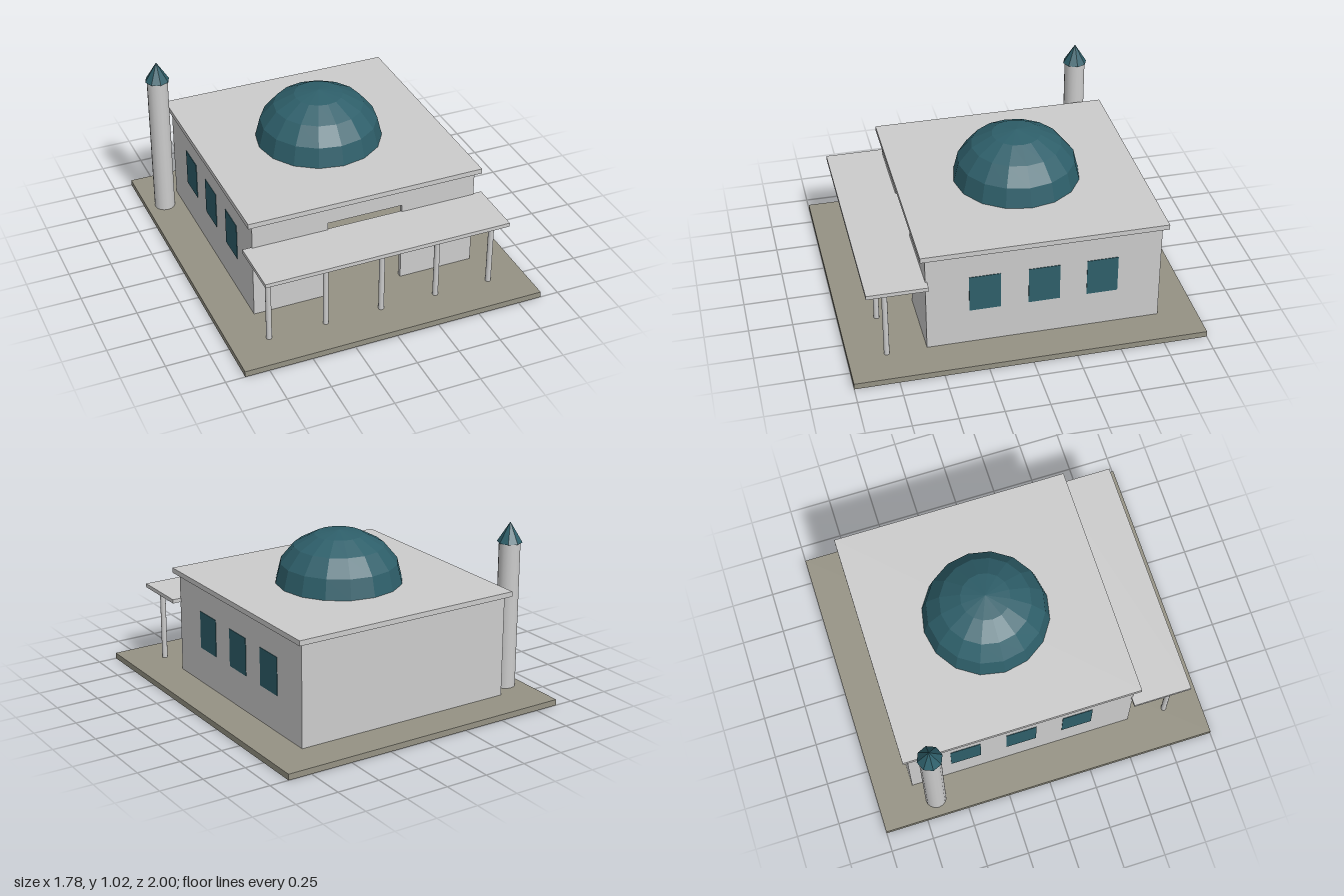
import * as THREE from 'three';

export function createModel() {
  const model = new THREE.Group();
  model.name = 'domedBuilding';

  const plaster = new THREE.MeshStandardMaterial({ color: 0xcccccc });
  plaster.name = 'pale plaster';
  const teal = new THREE.MeshStandardMaterial({ color: 0x2e5f6a });
  teal.name = 'dark teal';
  const stone = new THREE.MeshStandardMaterial({ color: 0x959284 });
  stone.name = 'paving stone';

  function add(name, geometry, material, x = 0, y = 0, z = 0) {
    const mesh = new THREE.Mesh(geometry, material);
    mesh.name = name;
    mesh.position.set(x, y, z);
    model.add(mesh);
    return mesh;
  }
  // Box given by its lower and upper limits on each axis
  function box(name, material, [x0, x1], [y0, y1], [z0, z1]) {
    return add(name, new THREE.BoxGeometry(x1 - x0, y1 - y0, z1 - z0), material,
      (x0 + x1) / 2, (y0 + y1) / 2, (z0 + z1) / 2);
  }
  // Upright cylinder or cone between two heights
  function post(name, material, rTop, rBottom, sides, x, y0, y1, z) {
    return add(name, new THREE.CylinderGeometry(rTop, rBottom, y1 - y0, sides), material, x, (y0 + y1) / 2, z);
  }

  const floor = 0.035, wallTop = 0.633, roofTop = 0.663;
  const halfW = 0.668, front = 0.556, back = -0.778, thick = 0.025;
  const doorHalf = 0.223, doorTop = 0.525;

  // Ground slab
  box('groundSlab', stone, [-0.889, 0.889], [0, floor], [-1, 1]);

  // Hollow hall with an open doorway
  const wallY = [floor, wallTop];
  box('backWall', plaster, [-halfW + thick, halfW - thick], wallY, [back, back + thick]);
  for (const s of [-1, 1]) {
    const side = s < 0 ? 'right' : 'left';
    const span = (a, b) => [s * a, s * b].sort((p, q) => p - q);
    box(side + 'Wall', plaster, span(halfW - thick, halfW), wallY, [back, front]);
    box(side + 'FrontWall', plaster, span(doorHalf, halfW - thick), wallY, [front - thick, front]);
    // Window panes
    [0.225, -0.11, -0.442].forEach((z, i) => {
      box(side + 'Window' + (i + 1), teal, span(halfW - 0.002, halfW + 0.003), [0.25, 0.473], [z - 0.089, z + 0.089]);
    });
  }
  box('doorLintel', plaster, [-doorHalf, doorHalf], [doorTop, wallTop], [front - thick, front]);

  // Overhanging roof and the flattened dome set through it
  box('roof', plaster, [-0.698, 0.698], [wallTop, roofTop], [-0.808, 0.586]);
  const domeGeometry = new THREE.SphereGeometry(0.365, 16, 8).scale(1, 0.815, 1).toNonIndexed();
  domeGeometry.computeVertexNormals();
  const domeMaterial = teal.clone();
  domeMaterial.name = 'dark teal dome';
  domeMaterial.flatShading = true;
  add('dome', domeGeometry, domeMaterial, 0, roofTop, -0.11);

  // Porch canopy on five columns
  box('canopy', plaster, [-0.722, 0.722], [0.459, 0.482], [0.547, 0.889]);
  for (let i = -2; i <= 2; i++) {
    post('porchColumn' + (i + 3), plaster, 0.016, 0.016, 12, i * 0.334, floor, 0.459, 0.782);
  }

  // Corner tower with a pointed cap
  post('towerShaft', plaster, 0.061, 0.061, 16, -0.78, floor, 0.905, -0.667);
  post('towerCap', domeMaterial, 0, 0.072, 8, -0.78, 0.903, 1.02, -0.667);

  return model;
}
